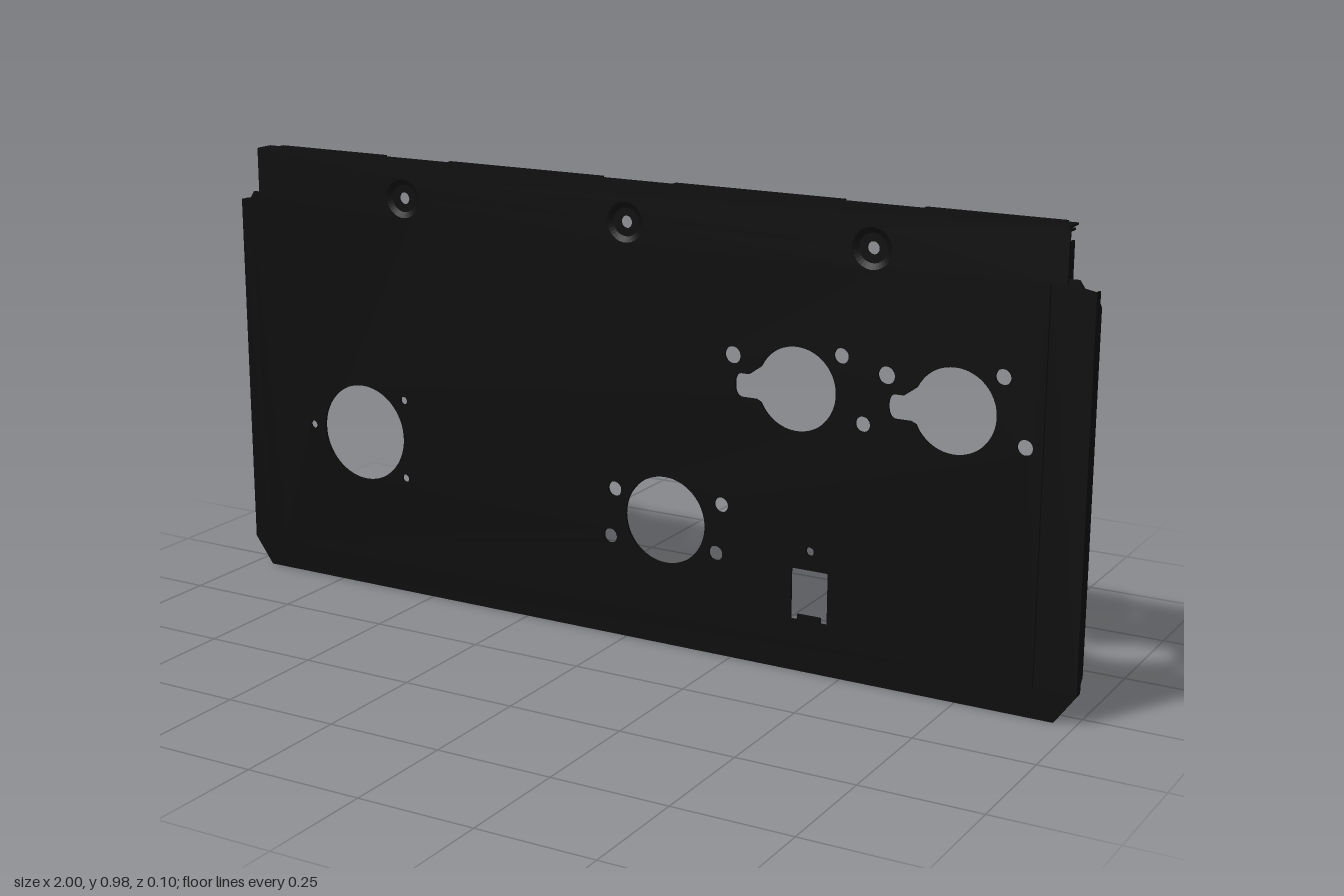
import * as THREE from 'three';

const black = new THREE.MeshStandardMaterial({ color: 0x0d0d0d, side: THREE.DoubleSide });
black.name = 'black painted steel';

const T = 0.004; // sheet thickness

function polygon(points, Kind = THREE.Shape) {
  return new Kind(points.map(([x, y]) => new THREE.Vector2(x, y)));
}

function circleHole(x, y, r) {
  const p = new THREE.Path();
  p.absarc(x, y, r, 0, Math.PI * 2, true);
  return p;
}

// round opening with a narrowing slot on one side
function keyHole(x, y) {
  const p = new THREE.Path();
  p.absarc(x, y, 0.087, Math.PI * 0.86, -Math.PI * 0.86, true);
  p.lineTo(x - 0.09, y - 0.032);
  p.lineTo(x - 0.122, y - 0.032);
  p.quadraticCurveTo(x - 0.137, y - 0.03, x - 0.137, y - 0.005);
  p.quadraticCurveTo(x - 0.137, y + 0.018, x - 0.12, y + 0.018);
  p.lineTo(x - 0.105, y + 0.018);
  p.closePath();
  return p;
}

export function createModel() {
  const group = new THREE.Group();

  const add = (name, geometry, x = 0, y = 0, z = 0) => {
    const mesh = new THREE.Mesh(geometry, black);
    mesh.name = name;
    mesh.position.set(x, y, z);
    group.add(mesh);
    return mesh;
  };
  const box = (name, x0, x1, y0, y1, z0, z1) =>
    add(name, new THREE.BoxGeometry(x1 - x0, y1 - y0, z1 - z0), (x0 + x1) / 2, (y0 + y1) / 2, (z0 + z1) / 2);
  const plate = (shape, depth) =>
    new THREE.ExtrudeGeometry(shape, { depth, bevelEnabled: false, curveSegments: 32 });

  // raised face with all its openings
  const face = polygon([
    [-0.912, 0.065], [0.912, 0.065], [0.912, 0.865], [0.945, 0.865],
    [0.945, 0.975], [-0.945, 0.975], [-0.945, 0.865], [-0.912, 0.865],
  ]);
  const screwXs = [-0.553, 0, 0.55];
  const holes = [
    [-0.675, 0.357, 0.108], [-0.815, 0.357, 0.009], [-0.565, 0.445, 0.009], [-0.565, 0.267, 0.009],
    [0.095, 0.275, 0.094], [-0.026, 0.325, 0.016], [-0.037, 0.22, 0.016], [0.227, 0.329, 0.016], [0.215, 0.223, 0.016],
    [0.43, 0.262, 0.009],
    ...screwXs.map((x) => [x, 0.895, 0.042]),
  ];
  for (const x of [0.393, 0.73]) {
    face.holes.push(keyHole(x, 0.595));
    holes.push([x - 0.143, 0.648, 0.018], [x + 0.097, 0.675, 0.016], [x + 0.146, 0.543, 0.016]);
  }
  holes.forEach((h) => face.holes.push(circleHole(...h)));
  face.holes.push(polygon([
    [0.389, 0.222], [0.389, 0.112], [0.404, 0.112], [0.404, 0.124],
    [0.456, 0.124], [0.456, 0.112], [0.471, 0.112], [0.471, 0.222],
  ], THREE.Path));
  add('raisedFace', plate(face, 0.006), 0, 0, 0.044);

  // dimples around the top screw holes
  const dimple = [[0.043, 0.006], [0.03, 0], [0.013, 0], [0.013, -0.004], [0.031, -0.004], [0.043, 0]];
  for (const x of screwXs) {
    const g = new THREE.LatheGeometry(dimple.map(([r, h]) => new THREE.Vector2(r, h)), 32);
    g.rotateX(Math.PI / 2);
    add('screwDimple', g.toNonIndexed(), x, 0.895, 0.044).geometry.computeVertexNormals();
  }

  // stepped-back border down both sides and along the bottom
  const border = polygon([
    [-0.955, 0], [0.955, 0], [1, 0.062], [1, 0.855], [0.975, 0.86], [0.965, 0.875], [0.908, 0.875],
    [0.908, 0.069], [-0.908, 0.069], [-0.908, 0.875], [-0.965, 0.875], [-0.975, 0.86], [-1, 0.855], [-1, 0.062],
  ]);
  add('border', plate(border, 0.0055), 0, 0, 0.039);
  box('bottomLip', -0.955, 0.955, 0, T, 0.013, 0.043);

  // side lips, drawn with z along the shape's x axis
  const sideLip = polygon([
    [0.043, 0.062], [0.043, 0.855], [0.023, 0.855], [0.023, 0.832], [0.013, 0.822], [0.013, 0.092], [0.023, 0.08], [0.023, 0.062],
  ]);
  for (const s of [-1, 1]) {
    const g = plate(sideLip, T);
    g.rotateY(-Math.PI / 2); // shape x becomes z, depth runs towards -x
    add('sideLip', g, s > 0 ? 1 : -1 + T);

    const corner = box('cornerLip', -T / 2, T / 2, -0.038, 0.038, 0.023, 0.043);
    corner.position.set(s * 0.976, 0.032, 0.033);
    corner.rotation.z = -s * Math.atan2(0.045, 0.062);

    const e = s * 0.943;
    box('upperSideLip', e - T / 2, e + T / 2, 0.865, 0.945, 0.022, 0.047);
  }

  // top flange: shelf, four stepped sections and two mounting tabs
  box('topShelf', -0.945, 0.945, 0.975 - T, 0.975, 0.005, 0.05);
  for (const [x0, x1] of [[-0.92, -0.635], [-0.468, -0.085], [0.085, 0.465], [0.635, 0.92]]) {
    box('topFlange', x0, x1, 0.975 - T, 0.975, -0.01, 0.006);
    box('flangeDrop', x0, x1, 0.95, 0.975, -0.01, -0.01 + T);
  }
  for (const s of [-1, 1]) {
    const tab = polygon([[0.92, 0.007], [0.92, 0.05], [0.81, 0.05], [0.77, 0.012], [0.77, 0.007]].map(([x, y]) => [s * x, y]));
    tab.holes.push(circleHole(s * 0.848, 0.035, 0.009));
    const g = plate(tab, T);
    g.rotateX(-Math.PI / 2); // shape y becomes -z
    add('mountingTab', g, 0, 0.95, 0);
  }

  return group;
}
